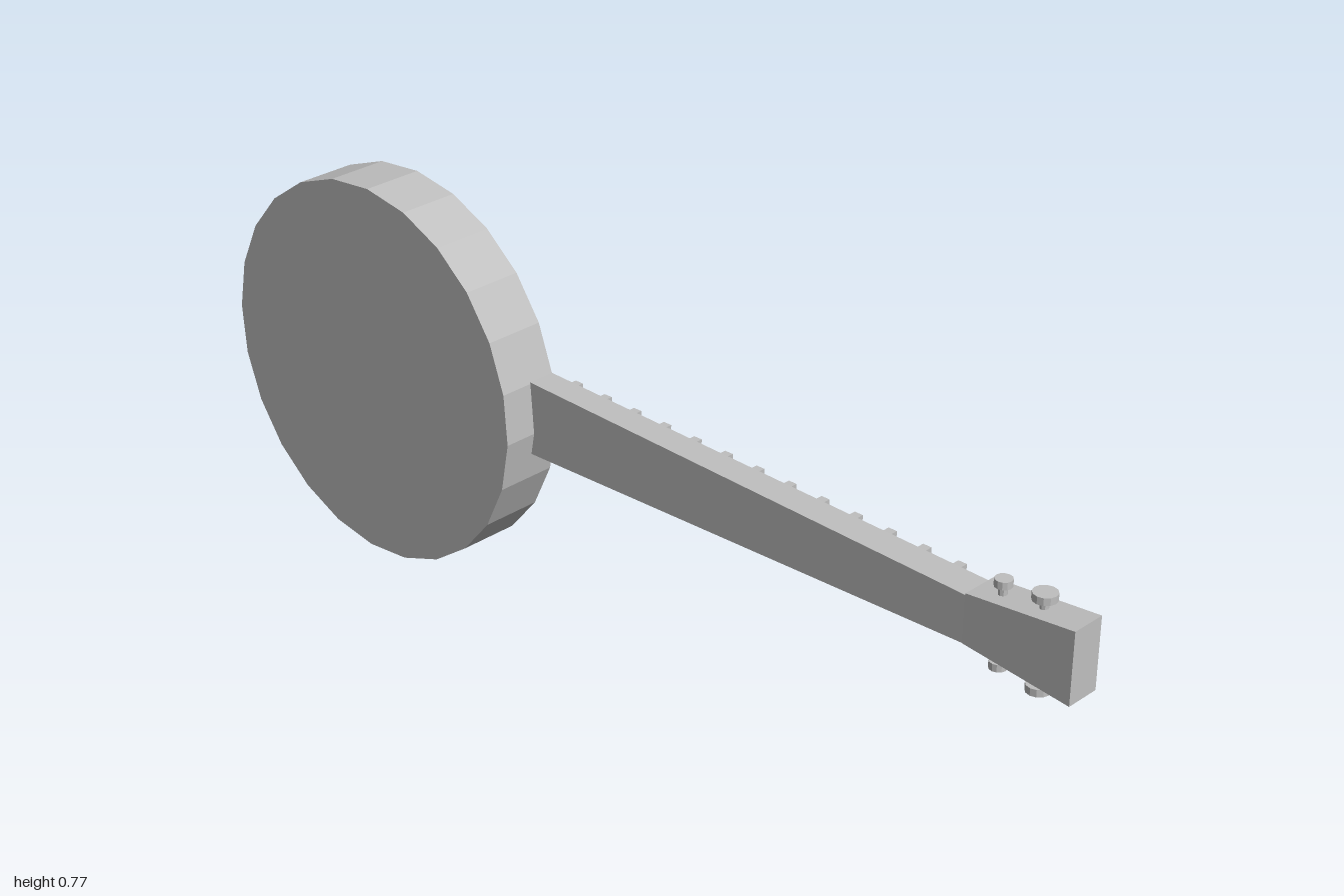
import * as THREE from 'three';

const DRUM_X = -0.617, DRUM_Y = 0.388, NECK_Y = 0.397;

export function createModel() {
  const model = new THREE.Group();
  model.name = 'banjo';
  const grey = new THREE.MeshStandardMaterial({ color: 0xbfbfbf, flatShading: true });
  grey.name = 'plain grey';

  const add = (name, geometry, x = 0, y = 0, z = 0) => {
    const mesh = new THREE.Mesh(geometry, grey);
    mesh.name = name;
    mesh.position.set(x, y, z);
    model.add(mesh);
    return mesh;
  };

  // Box running along x; each end is [x, height, back z, front z]
  const taper = (a, b) => {
    const g = new THREE.BoxGeometry(1, 1, 1);
    const p = g.attributes.position;
    for (let i = 0; i < p.count; i++) {
      const [x, h, back, front] = p.getX(i) < 0 ? a : b;
      p.setXYZ(i, x, p.getY(i) * h, p.getZ(i) < 0 ? back : front);
    }
    g.computeVertexNormals();
    return g;
  };

  // Round part turned about the drum's z axis, profile given as [radius, z]
  const turned = (profile) => new THREE.LatheGeometry(profile.map(([r, z]) => new THREE.Vector2(r, z)), 24)
    .rotateX(Math.PI / 2).rotateZ(THREE.MathUtils.degToRad(-3));

  // Drum shell, and the raised hoop with the slightly sunken skin
  const shell = turned([[0, -0.045], [0.383, -0.045], [0.383, 0.079], [0, 0.079]]);
  const skin = turned([[0, -0.059], [0.338, -0.059], [0.341, -0.063], [0.354, -0.062], [0.358, -0.044]]);
  add('drumShell', shell, DRUM_X, DRUM_Y).rotation.x = 0.004;
  add('drumSkin', skin, DRUM_X, DRUM_Y).rotation.x = 0.004;

  // Bridge with rounded ends
  const bridge = new THREE.CapsuleGeometry(0.016, 0.165, 2, 8);
  bridge.scale(1, 1, 0.9);
  add('bridge', bridge, -0.567, NECK_Y, -0.064);

  // Tailpiece, narrower towards the rim
  add('tailpiece', taper([-0.968, 0.145, -0.079, -0.05], [-0.825, 0.175, -0.079, -0.05]), 0, NECK_Y - 0.007);

  // Neck and frets
  const neckHeight = (x) => THREE.MathUtils.mapLinear(x, -0.24, 0.78, 0.147, 0.09);
  add('neck', taper([-0.27, neckHeight(-0.27), -0.045, 0.011], [0.785, 0.09, -0.04, 0.024]), 0, NECK_Y);
  for (let i = 0; i < 13; i++) {
    const x = -0.185 + i * 0.0745, h = neckHeight(x) - 0.004;
    add('fret', taper([x - 0.009, h, -0.058, -0.035], [x + 0.009, h, -0.058, -0.035]), 0, NECK_Y);
  }

  // Headstock
  add('headstock', taper([0.78, 0.094, -0.048, 0.025], [1, 0.138, -0.04, 0.03]), 0, NECK_Y + 0.002);

  // Tuning pegs and string posts, mirrored above and below
  const pegs = [{ x: 0.83, r: 0.016, out: 0.077 }, { x: 0.912, r: 0.022, out: 0.085 }];
  for (const { x, r, out } of pegs) {
    for (const side of [1, -1]) {
      add('pegShaft', new THREE.CylinderGeometry(0.008, 0.008, 0.06, 8), x, NECK_Y + side * (out - 0.032), -0.008);
      add('pegKnob', new THREE.CylinderGeometry(r, r, 0.014, 12), x, NECK_Y + side * out, -0.008);
      const post = new THREE.BoxGeometry(0.066, 0.016, 0.03);
      add('stringPost', post, x, NECK_Y + side * (x > 0.9 ? 0.034 : 0.028), -0.045);
    }
  }
  return model;
}
